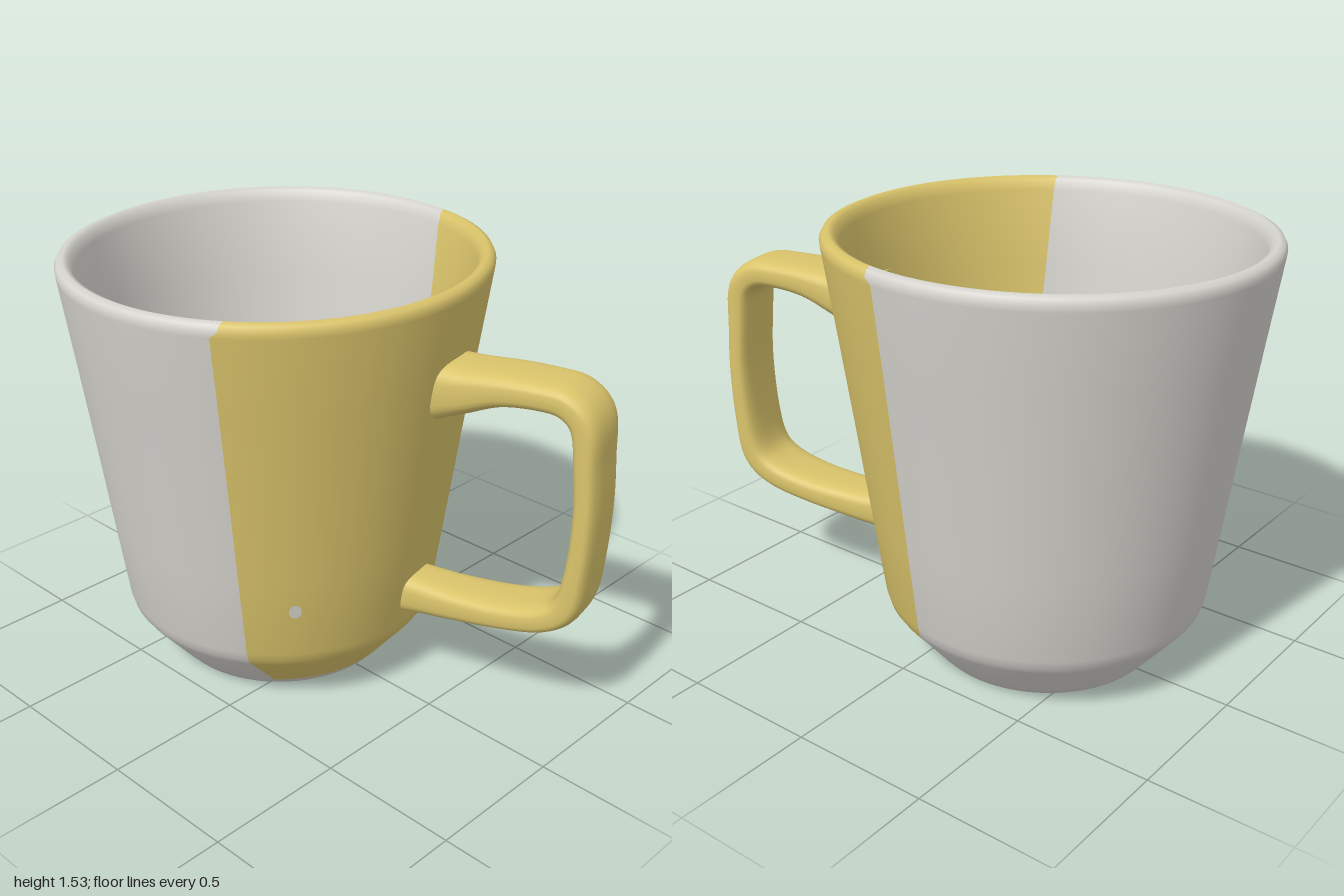
import * as THREE from 'three';

const CUP_X = -0.25;      // cup axis
const SLANT = 0.19;       // slope of the colour boundary seen from above
const RIM_Y = 1.52;

const white = new THREE.MeshStandardMaterial({ color: 0xd6d4ce });
white.name = 'warm white glaze';
const yellow = new THREE.MeshStandardMaterial({ color: 0xdac46b });
yellow.name = 'yellow glaze';

// Grid of points (rows x cols) to an indexed geometry
function gridGeometry(rows, cols, positions, normals) {
  const index = [];
  for (let i = 0; i < rows - 1; i++) {
    for (let j = 0; j < cols - 1; j++) {
      const a = i * cols + j, b = a + cols;
      index.push(a, b, a + 1, b, b + 1, a + 1);
    }
  }
  const g = new THREE.BufferGeometry();
  g.setAttribute('position', new THREE.Float32BufferAttribute(positions, 3));
  g.setIndex(index);
  if (normals) g.setAttribute('normal', new THREE.Float32BufferAttribute(normals, 3));
  else g.computeVertexNormals();
  return g;
}

// Revolved profile of [radius, y]; arcAt(i) gives the angles it spans on each ring
function revolve(profile, arcAt, segments) {
  const pos = [], nor = [], n = profile.length;
  const dir = (i) => new THREE.Vector2(
    profile[i + 1][0] - profile[i][0], profile[i + 1][1] - profile[i][1]).normalize();
  profile.forEach(([r, y], i) => {
    const t = dir(Math.min(i, n - 2)).add(dir(Math.max(i - 1, 0))).normalize();
    const [from, to] = arcAt(i);
    for (let j = 0; j <= segments; j++) {
      const a = from + (to - from) * j / segments;
      const x = Math.cos(a), z = Math.sin(a);
      // the rim leans very slightly forward
      pos.push(CUP_X + r * x, y - 0.016 * r * z * y / RIM_Y, r * z);
      nor.push(t.y * x, -t.x, t.y * z);
    }
  });
  return gridGeometry(n, segments + 1, pos, nor);
}

// Outer wall, rim, inner wall and floor in one run
const OUTER_POINTS = 8;
const wall = [
  [0.425, 0.035], [0.545, 0.18], [0.562, 0.205], [0.572, 0.24], [0.615, 0.55],
  [0.66, 0.88], [0.705, 1.2], [0.745, 1.475],
  [0.747, 1.495], [0.738, 1.513], [0.718, 1.522], [0.698, 1.512], [0.685, 1.475],
  [0.645, 1.2], [0.593, 0.85], [0.542, 0.5], [0.508, 0.28], [0.485, 0.21],
  [0.43, 0.135], [0.4, 0.112], [0.36, 0.103], [0.33, 0.101], [0.31, 0.1],
  [0.3, 0.1], [0.15, 0.1], [0, 0.1],
];
const foot = [
  [0, 0.035], [0.32, 0.032], [0.35, 0.025], [0.368, 0.006], [0.385, 0],
  [0.4, 0.007], [0.425, 0.035],
];

// Half angle of the yellow area on ring i of the wall
const PHI = Math.atan(SLANT);
function halfArc(i) {
  const [r, y] = wall[i];
  const drop = RIM_Y - y;
  const x0 = i < OUTER_POINTS ? 0.012 - 0.025 * drop : 0.035 + 0.018 * drop;
  if (r < 1e-6) return 0;
  return Math.acos(Math.min(1, (x0 - CUP_X) / (r * Math.hypot(1, SLANT))));
}

// Handle stations: distance from the cup axis, height, thickness, width
const stations = [
  [0.67, 1.17, 0.21, 0.25], [0.77, 1.19, 0.165, 0.245], [0.9, 1.221, 0.118, 0.235],
  [1.03, 1.232, 0.102, 0.225], [1.13, 1.223, 0.104, 0.22], [1.194, 1.16, 0.102, 0.22],
  [1.211, 1.02, 0.09, 0.22], [1.221, 0.85, 0.086, 0.22], [1.211, 0.65, 0.09, 0.22],
  [1.182, 0.51, 0.104, 0.22], [1.1, 0.44, 0.104, 0.22], [0.95, 0.4, 0.104, 0.21],
  [0.76, 0.376, 0.118, 0.195], [0.65, 0.368, 0.135, 0.185], [0.57, 0.362, 0.15, 0.185],
];

// Rounded-rectangle section lofted along the handle curve
function handleGeometry() {
  const path = new THREE.CatmullRomCurve3(
    stations.map(([u, y]) => new THREE.Vector3(u, y, 0)), false, 'catmullrom', 0.5);
  const size = new THREE.CatmullRomCurve3(
    stations.map(([, , t, w]) => new THREE.Vector3(t, w, 0)), false, 'catmullrom', 0.5);
  const rows = 85, sides = 32, pos = [];
  const power = (v) => Math.sign(v) * Math.pow(Math.abs(v), 0.62);
  for (let i = 0; i < rows; i++) {
    const k = i / (rows - 1);
    const p = path.getPoint(k), t = path.getTangent(k), s = size.getPoint(k);
    for (let j = 0; j <= sides; j++) {
      const a = -(j % sides) / sides * Math.PI * 2;
      const out = power(Math.cos(a)) * s.x / 2;
      pos.push(p.x - t.y * out, p.y + t.x * out, power(Math.sin(a)) * s.y / 2);
    }
  }
  const g = gridGeometry(rows, sides + 1, pos);
  // match the normals along the closing seam
  const nor = g.attributes.normal;
  for (let i = 0; i < rows; i++) {
    const a = i * (sides + 1), b = a + sides;
    const n = new THREE.Vector3().fromBufferAttribute(nor, a)
      .add(new THREE.Vector3().fromBufferAttribute(nor, b)).normalize();
    nor.setXYZ(a, n.x, n.y, n.z);
    nor.setXYZ(b, n.x, n.y, n.z);
  }
  return g;
}

export function createModel() {
  const model = new THREE.Group();
  model.name = 'mug';
  const add = (name, geometry, material, parent = model) => {
    const mesh = new THREE.Mesh(geometry, material);
    mesh.name = name;
    parent.add(mesh);
    return mesh;
  };

  // Cup body in two glazes
  add('whiteBody', revolve(wall, (i) => [halfArc(i) - PHI, 2 * Math.PI - halfArc(i) - PHI], 72), white);
  add('yellowBody', revolve(wall, (i) => [-halfArc(i) - PHI, halfArc(i) - PHI], 40), yellow);
  add('foot', revolve(foot, () => [0, 2 * Math.PI], 96), white);

  // Handle, turned a little towards the back
  const handle = new THREE.Group();
  handle.name = 'handle';
  handle.position.set(CUP_X, 0, 0.015);
  handle.rotation.y = THREE.MathUtils.degToRad(12.5);
  add('handleLoop', handleGeometry(), yellow, handle);
  model.add(handle);

  // Small bare spots in the yellow glaze: y, z, half width, half height
  for (const [y, z, w, h] of [[0.43, 0.38, 0.022, 0.028], [0.385, -0.46, 0.026, 0.045]]) {
    const r = 0.572 + (y - 0.24) * 0.139 + 0.003;
    const spot = add('glazeSpot', new THREE.CircleGeometry(1, 20), white);
    const x = Math.sqrt(r * r - z * z);
    spot.position.set(CUP_X + x, y, z);
    spot.rotation.set(0.138, Math.atan2(x, z), 0, 'YXZ');
    spot.scale.set(w, h, 1);
  }
  return model;
}
